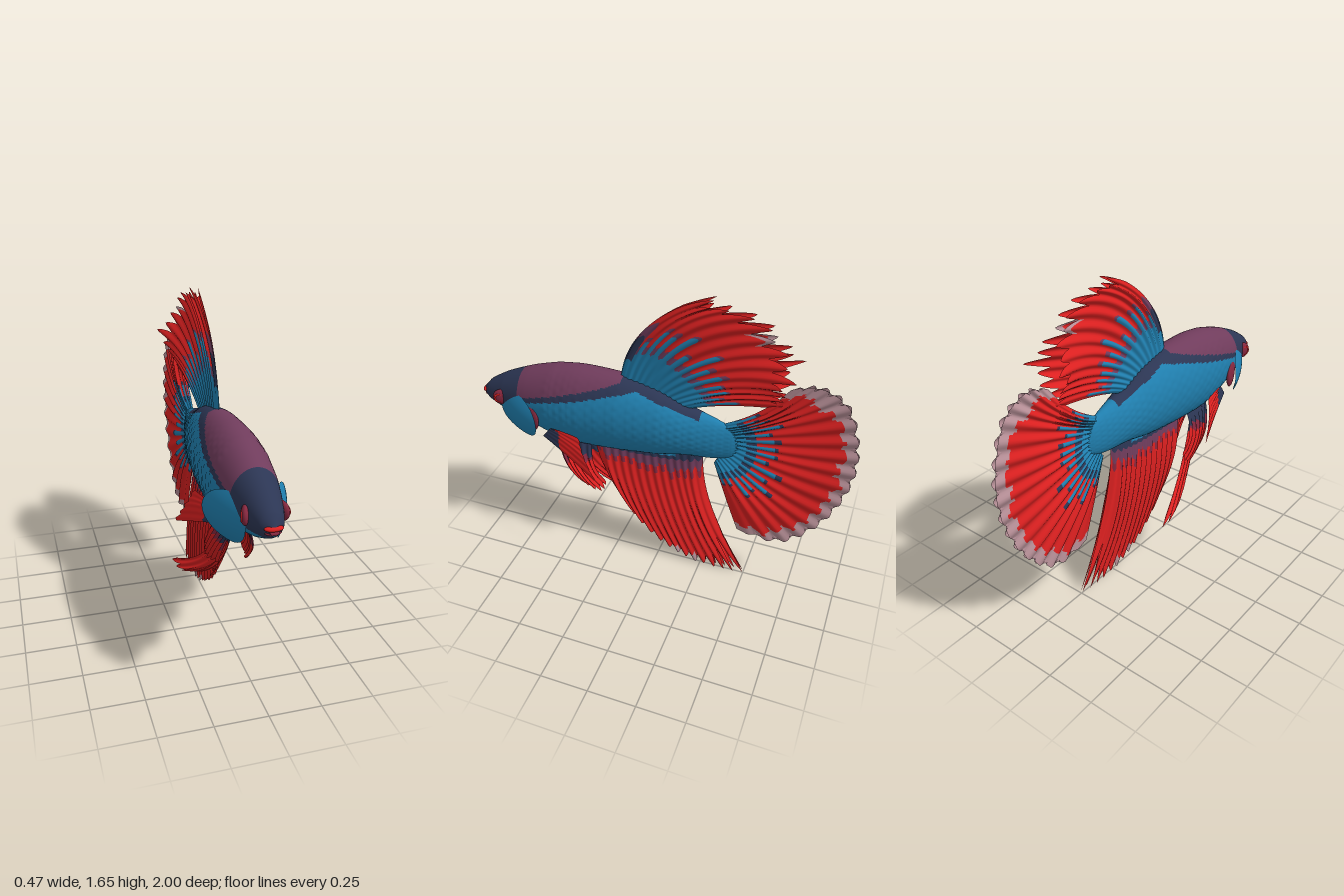
import * as THREE from 'three';

const V = (x, y, z) => new THREE.Vector3(x, y, z);
const paint = (name, color) => {
  const m = new THREE.MeshStandardMaterial({ color, side: THREE.DoubleSide });
  m.name = name;
  return m;
};
const palette = [
  paint('blue', 0x2080b0), paint('red', 0xdc2020), paint('plum', 0x703c5c),
  paint('navy', 0x2c3654), paint('palePink', 0xb89098), paint('wine', 0x86283f),
];
const [BLUE, RED, PLUM, NAVY, PALE, WINE] = [0, 1, 2, 3, 4, 5];
const rnd = (i) => { const s = Math.sin(i * 127.1 + 31.7) * 43758.5453; return s - Math.floor(s); };

// Surface from a point rule, with one palette index per cell
function surface(name, nu, nv, point, colour) {
  const pos = [], cells = palette.map(() => []);
  for (let i = 0; i <= nu; i++)
    for (let j = 0; j <= nv; j++) pos.push(...point(i / nu, j / nv).toArray());
  for (let i = 0; i < nu; i++)
    for (let j = 0; j < nv; j++) {
      const u = (i + 0.5) / nu, v = (j + 0.5) / nv;
      const a = i * (nv + 1) + j, b = a + nv + 1;
      cells[colour(u, v, point(u, v))].push(a, b, a + 1, b, b + 1, a + 1);
    }
  const g = new THREE.BufferGeometry();
  g.setAttribute('position', new THREE.Float32BufferAttribute(pos, 3));
  g.setIndex(cells.flat());
  let start = 0;
  cells.forEach((c, k) => { if (c.length) g.addGroup(start, c.length, k); start += c.length; });
  g.computeVertexNormals();
  const mesh = new THREE.Mesh(g, palette);
  mesh.name = name;
  return mesh;
}

// Pleated fin whose rays run from base through mid to tip; points are [x, y, z]
function fin(name, { base, mid, tip, rays, notch, pleat, colour, ragged = 0, tear = 0, bulge = () => 0 }) {
  const [B, M, T] = [base, mid, tip].map((pts) => new THREE.CatmullRomCurve3(pts.map((p) => V(...p))));
  const point = (u, v) => {
    const k = Math.min(Math.floor(u * rays), rays - 1);
    const cut = Math.pow(Math.abs(2 * (u * rays - k) - 1), 1.5);
    const s = v * (1 - (notch + tear * u ** 8) * cut - ragged * rnd(k) * (1 - cut));
    const p = B.getPoint(u).multiplyScalar((1 - s) * (1 - 2 * s))
      .addScaledVector(M.getPoint(u), 4 * s * (1 - s))
      .addScaledVector(T.getPoint(u), s * (2 * s - 1));
    const edge = Math.min(1, u * 12, (1 - u) * 12);
    const fold = pleat * Math.min(1, 0.3 + s * 1.5) * Math.cos(u * rays * 2 * Math.PI);
    p.x += edge * (bulge(u, s) - fold);
    return p;
  };
  return surface(name, rays * 8, 36, point, (u, v) => {
    const k = Math.floor(u * rays);
    return colour(u, v, k, Math.abs(u * rays - k - 0.5));
  });
}

const add = (parent, geo, mat, name, pos, scale = [1, 1, 1], rotY = 0) => {
  const m = new THREE.Mesh(geo, palette[mat]);
  m.name = name;
  m.position.set(...pos);
  m.scale.set(...scale);
  m.rotation.y = rotY;
  parent.add(m);
};

// Body colour zones: plum back, navy mask and seams, blue jaw and flanks
function bodyColour(u, v, { y, z }) {
  if (z > 0.66 && z < 0.77 && y < 0.772) return WINE;
  if (z > 0.34 && z < 0.74 && y < 0.755) return NAVY;
  if (z > 0.74) return y < 0.865 + Math.max(0, 0.85 - z) * 0.7 ? BLUE : NAVY;
  if (z > 0.18 && y > 1.01 + (0.6 - z) * 0.32) return PLUM;
  const line = z > 0.1 ? 0.98 + (0.6 - z) * 0.28 : 1.12 + (z - 0.1) * 0.35;
  return z > -0.22 && y > line ? NAVY : BLUE;
}

function makeBody() {
  // z, top, bottom, half width
  const st = [
    [0.99, 0.925, 0.885, 0.02], [0.95, 0.972, 0.855, 0.055], [0.85, 1.035, 0.81, 0.09],
    [0.7, 1.1, 0.765, 0.125], [0.55, 1.145, 0.72, 0.145], [0.4, 1.163, 0.705, 0.15],
    [0.2, 1.16, 0.715, 0.14], [0, 1.12, 0.735, 0.115], [-0.15, 1.055, 0.765, 0.085],
    [-0.3, 1.01, 0.775, 0.05], [-0.39, 0.975, 0.8, 0.025], [-0.44, 0.9, 0.85, 0.008],
  ];
  const size = new THREE.CatmullRomCurve3(st.map((s) => V(s[1], s[2], s[3])));
  const along = new THREE.CatmullRomCurve3(st.map((s) => V(0, 0, s[0])));
  return surface('body', 170, 128, (u, v) => {
    const s = size.getPoint(u), z = along.getPoint(u).z, a = (v * 2 - 1) * Math.PI;
    // Shallow overlapping scales behind the head
    const row = (0.6 - z) / 0.035, k = Math.floor(row);
    const scale = z < 0.6 ? 0.004 * (row - k) * Math.abs(Math.sin(a * 12 + k * Math.PI / 2)) : 0;
    const w = s.z + scale * Math.min(1, s.z * 12);
    return V(w * Math.sin(a), (s.x + s.y) / 2 + (s.x - s.y) / 2 * Math.cos(a), z);
  }, bodyColour);
}

// Parts built for the left side and mirrored
function makeSide() {
  const g = new THREE.Group();
  const ball = new THREE.SphereGeometry(1, 28, 20);
  // Cheek plate lying on the head in front and flaring outward behind
  g.add(surface('gillCover', 16, 40, (u, v) => {
    const a = v * 2 * Math.PI, dz = Math.cos(a) * u, dy = Math.sin(a) * u;
    return V(0.137 - 0.058 * dz + 0.014 * (1 - u * u) - 0.025 * dy * dy, 0.868 + 0.115 * dy, 0.73 + 0.13 * dz);
  }, () => BLUE));
  add(g, ball, WINE, 'gill', [0.115, 0.865, 0.68], [0.02, 0.085, 0.07], -0.36);
  add(g, ball, WINE, 'eye', [0.08, 0.927, 0.855], [0.02, 0.045, 0.045], 0.35);
  add(g, new THREE.TorusGeometry(0.022, 0.005, 10, 28), RED, 'eyeRing',
    [0.096, 0.927, 0.86], [1, 1, 1], Math.PI / 2 + 0.35);

  g.add(fin('pectoralFin', {
    base: [[0.135, 0.835, 0.55], [0.13, 0.77, 0.6]],
    mid: [[0.155, 0.845, 0.46], [0.17, 0.79, 0.44], [0.18, 0.705, 0.43]],
    tip: [[0.17, 0.84, 0.37], [0.205, 0.75, 0.33], [0.24, 0.63, 0.25]],
    rays: 5, notch: 0.06, pleat: 0.002,
    colour: (u, v, k) => (v < 0.12 + 0.2 * u + 0.12 * rnd(k) ? NAVY : RED),
  }));
  g.add(fin('pelvicFin', {
    base: [[0.03, 0.72, 0.56], [0.04, 0.72, 0.36]],
    mid: [[0.075, 0.57, 0.51], [0.09, 0.57, 0.42], [0.085, 0.6, 0.33]],
    tip: [[0.06, 0.46, 0.42], [0.09, 0.44, 0.3], [0.08, 0.5, 0.25]],
    rays: 6, notch: 0.14, ragged: 0.08, pleat: 0.009,
    colour: (u, v, k) => (v < 0.22 + 0.16 * rnd(k) ? NAVY : v < 0.3 + 0.25 * rnd(k + 9) ? WINE : RED),
  }));

  // Dorsal sheet, curling outward at the rear
  g.add(fin('dorsalFin', {
    base: [[0, 1.14, 0.2], [0, 1.1, 0.02], [0, 1.04, -0.16]],
    mid: [[0, 1.44, 0.07], [0, 1.46, -0.1], [0, 1.35, -0.27], [0, 1.22, -0.36], [0, 1.11, -0.38]],
    tip: [[0.014, 1.67, -0.25], [0.005, 1.635, -0.4], [0, 1.53, -0.6], [0, 1.4, -0.69],
      [0, 1.26, -0.66], [0, 1.15, -0.65]],
    rays: 13, notch: 0.17, ragged: 0.11, pleat: 0.008,
    bulge: (u, s) => 0.013 + 0.09 * s ** 2.5 * Math.exp(-(((u - 0.68) / 0.15) ** 2)),
    colour: (u, v, k, d) => {
      if (u < 0.08) return v < 0.2 ? BLUE : v < 0.45 ? NAVY : v < 0.6 ? PLUM : RED;
      if (v > 0.94 && k === 5) return PALE;
      const blue = 0.38 + 0.26 * rnd(k + 3);
      if (v < (d < 0.3 ? blue : 0.28)) return BLUE;
      return v < (d < 0.3 ? blue + 0.05 : 0.36) ? PLUM : RED;
    },
  }));

  // Tail sheet with an uneven pale scalloped rim
  g.add(fin('tailFin', {
    base: [[0, 0.99, -0.33], [0, 0.88, -0.36], [0, 0.74, -0.3]],
    mid: [[0, 1.11, -0.51], [0, 1.08, -0.63], [0, 0.87, -0.68], [0, 0.62, -0.59], [0, 0.53, -0.37]],
    tip: [[0, 1.27, -0.65], [0, 1.305, -0.78], [0, 1.24, -0.91], [0, 1.06, -0.985], [0, 0.86, -1],
      [0, 0.65, -0.95], [0, 0.45, -0.84], [0, 0.31, -0.68], [0, 0.31, -0.45]],
    rays: 17, notch: 0.03, pleat: 0.008,
    bulge: (u, s) => 0.024 * Math.sin(Math.PI * Math.min(1, 0.15 + s * 0.8)),
    colour: (u, v, k, d) => {
      if (v > 0.86 + 0.08 * rnd(k) + (u < 0.25 ? -0.03 : 0.02) - 0.06 * d) return PALE;
      const blue = 0.28 + 0.24 * rnd(k + 5);
      if (v < (d < 0.25 ? blue : 0.18)) return BLUE;
      return v < (d < 0.25 ? blue + 0.04 : 0.24) ? NAVY : RED;
    },
  }));

  // Long belly fin sheet with trailing points at the rear
  g.add(fin('analFin', {
    base: [[0, 0.74, 0.36], [0, 0.76, 0.05], [0, 0.8, -0.24]],
    mid: [[0, 0.55, 0.32], [0, 0.45, 0.15], [0, 0.41, -0.02], [0, 0.4, -0.18], [0, 0.41, -0.31]],
    tip: [[0, 0.34, 0.2], [0, 0.18, 0.08], [0, 0.06, -0.08], [0, 0.01, -0.22], [0, 0, -0.38], [0, 0.01, -0.53]],
    rays: 14, notch: 0.05, ragged: 0.02, tear: 0.45, pleat: 0.008,
    bulge: (u, s) => 0.003 + 0.036 * Math.sin(Math.PI * Math.min(1, 0.1 + s * 0.88)),
    colour: (u, v, k, d) => {
      if (v > 0.94 && d < 0.35 && (k === 6 || k === 8)) return PALE;
      const dark = 0.13 + 0.07 * rnd(k);
      if (v < 0.05) return u > 0.15 && u < 0.75 ? BLUE : NAVY;
      return v < 0.08 ? NAVY : v < dark ? PLUM : v < dark + 0.06 && d < 0.3 ? WINE : RED;
    },
  }));
  return g;
}

export function createModel() {
  const model = new THREE.Group();
  model.name = 'fish';
  model.add(makeBody());

  const left = makeSide(), right = left.clone();
  left.name = 'leftSide';
  right.name = 'rightSide';
  right.scale.x = -1;
  model.add(left, right);

  // Lips
  const lip = new THREE.SphereGeometry(1, 20, 14);
  add(model, lip, RED, 'upperLip', [0, 0.914, 0.978], [0.042, 0.013, 0.021]);
  add(model, lip, WINE, 'lowerLip', [0, 0.892, 0.97], [0.036, 0.012, 0.021]);

  // Trailing streamer of the right pelvic fin
  model.add(fin('pelvicStreamer', {
    base: [[-0.03, 0.71, 0.53], [-0.04, 0.71, 0.4]],
    mid: [[-0.06, 0.45, 0.4], [-0.09, 0.43, 0.24]],
    tip: [[-0.135, 0.31, 0.21], [-0.18, 0.24, 0.05], [-0.195, 0.25, -0.08]],
    rays: 4, notch: 0.1, pleat: 0.006,
    colour: (u, v) => (v < 0.2 ? NAVY : RED),
  }));
  return model;
}
